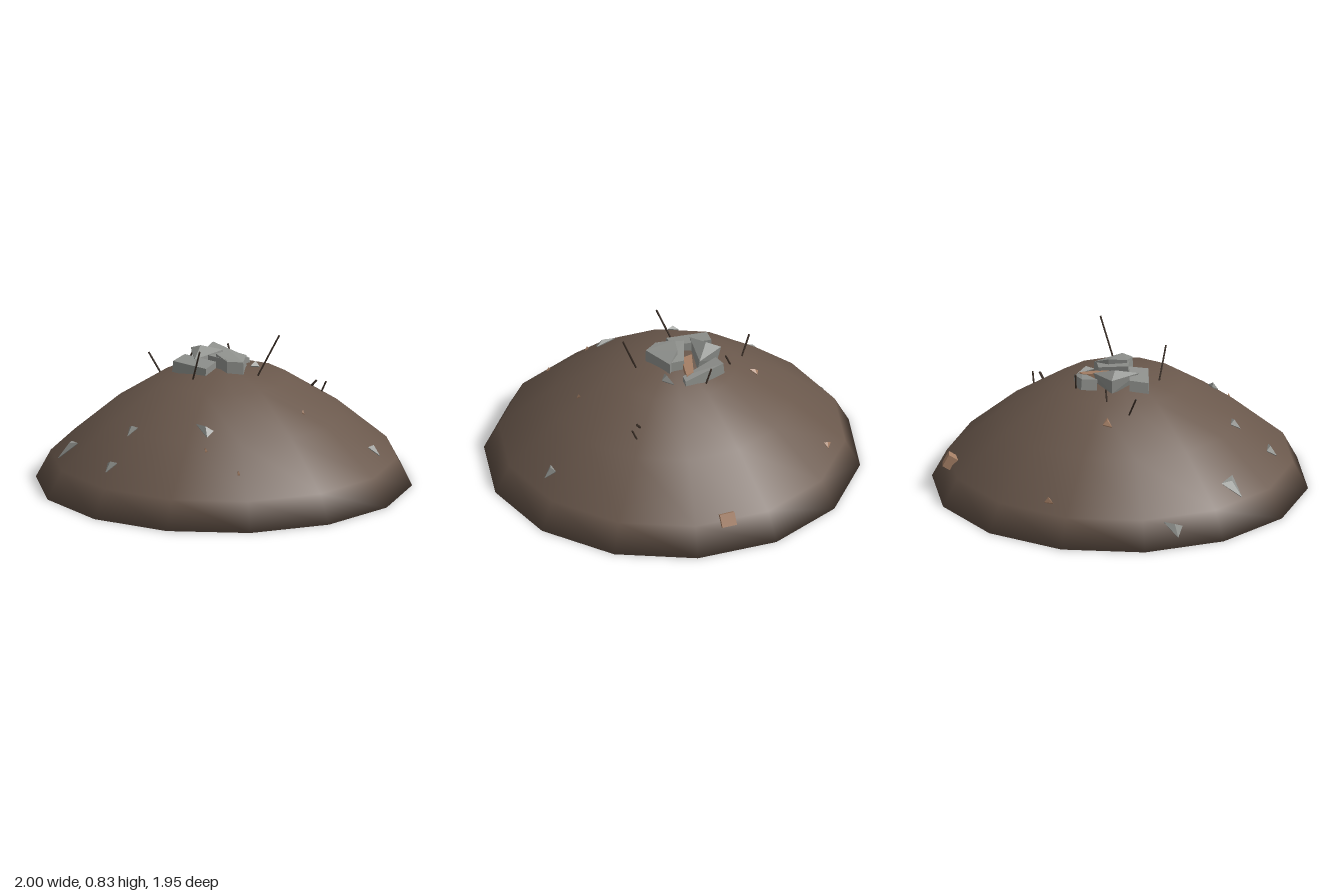
import * as THREE from 'three';
import { mergeVertices } from 'three/addons/utils/BufferGeometryUtils.js';
import { ConvexGeometry } from 'three/addons/geometries/ConvexGeometry.js';

const SIDES = 14;
const PROFILE = [[0, 0], [1, 0], [0.92, 0.15], [0.64, 0.385], [0.345, 0.575], [0, 0.64]];

// Height of the mound's faceted surface at x, z
function groundY(x, z) {
  const step = (Math.PI * 2) / SIDES;
  const a = (Math.atan2(z, x) + Math.PI * 2) % step;
  const r = Math.hypot(x, z) * Math.cos(a - step / 2) / Math.cos(step / 2);
  for (let i = 2; i < PROFILE.length; i++) {
    const [r0, y0] = PROFILE[i - 1], [r1, y1] = PROFILE[i];
    if (r >= r1) return y0 + (y1 - y0) * (r0 - r) / (r0 - r1);
  }
  return 0.64;
}

export function createModel() {
  const group = new THREE.Group();
  const material = (name, color) => {
    const m = new THREE.MeshStandardMaterial({ color });
    m.name = name;
    return m;
  };
  const dirt = material('dirt', 0x6a584c);
  const concrete = material('concrete', 0x8e908c);
  const brick = material('brick', 0xa57f65);
  const rust = material('rustyIron', 0x3c3028);

  const add = (name, geometry, mat) => {
    const mesh = new THREE.Mesh(geometry, mat);
    mesh.name = name;
    group.add(mesh);
    return mesh;
  };

  // Slab: top corners [x, y, z] extended downward by a thickness
  const slab = (name, mat, top, thick) => {
    const pts = [];
    for (const [x, y, z] of top) {
      pts.push(new THREE.Vector3(x, y, z), new THREE.Vector3(x * 1.02, y - thick, z * 1.02));
    }
    add(name, new ConvexGeometry(pts), mat);
  };

  // Shard: corners [x, z] resting on the slope, with a raised peak and a buried root
  const shard = (name, mat, corners, lift) => {
    const pts = corners.map(([x, z]) => new THREE.Vector3(x, groundY(x, z) + 0.006, z));
    const c = new THREE.Vector3();
    pts.forEach(p => c.addScaledVector(p, 1 / pts.length));
    pts.push(c.clone().setY(c.y + lift), c.clone().setY(c.y - 0.05));
    add(name, new ConvexGeometry(pts), mat);
  };

  // Rod between two points
  const rod = (from, to, radius = 0.005) => {
    const a = new THREE.Vector3(...from), b = new THREE.Vector3(...to);
    const dir = b.clone().sub(a);
    const mesh = add('rod', new THREE.CylinderGeometry(radius, radius, dir.length(), 6), rust);
    mesh.position.copy(a).add(b).multiplyScalar(0.5);
    mesh.quaternion.setFromUnitVectors(new THREE.Vector3(0, 1, 0), dir.normalize());
  };

  // Dirt mound, with normals shared around the rim and underside
  let mound = new THREE.LatheGeometry(PROFILE.map(p => new THREE.Vector2(...p)), SIDES, Math.PI / 2);
  mound.deleteAttribute('uv');
  mound.deleteAttribute('normal');
  mound = mergeVertices(mound, 1e-4);
  mound.computeVertexNormals();
  add('mound', mound, dirt);

  // Broken slabs heaped on the summit
  slab('leftSlab', concrete,
    [[-0.17, 0.655, -0.21], [-0.07, 0.67, -0.22], [-0.05, 0.665, -0.01], [-0.15, 0.65, 0.01]], 0.06);
  slab('rightSlab', concrete,
    [[0.10, 0.67, -0.22], [0.18, 0.68, -0.25], [0.24, 0.62, -0.04], [0.20, 0.63, -0.03]], 0.06);
  slab('middleSlab', concrete,
    [[-0.05, 0.69, -0.07], [0.11, 0.67, -0.05], [0.13, 0.67, 0.04], [-0.05, 0.69, 0.07]], 0.06);
  slab('frontSlab', concrete,
    [[-0.06, 0.685, 0.08], [-0.04, 0.705, -0.02], [0.06, 0.705, -0.02],
      [0.14, 0.67, 0.03], [0.00, 0.68, 0.14]], 0.07);
  slab('brickSlab', brick,
    [[0.04, 0.66, -0.10], [0.19, 0.645, -0.09], [0.21, 0.64, -0.05], [0.06, 0.655, -0.04]], 0.04);

  // Pointed chunk behind the slabs
  add('wedge', new ConvexGeometry([
    [-0.11, 0.67, -0.11], [0.02, 0.68, -0.26], [0.13, 0.67, -0.13], [0.01, 0.71, -0.18],
    [-0.08, 0.60, -0.11], [0.02, 0.60, -0.24], [0.11, 0.60, -0.12],
  ].map(p => new THREE.Vector3(...p))), concrete);

  // Concrete shards on the slopes
  [
    [[-0.70, -0.55], [-0.59, -0.55], [-0.64, -0.46]],
    [[-0.41, -0.83], [-0.31, -0.86], [-0.39, -0.87]],
    [[-0.84, -0.07], [-0.79, -0.10], [-0.79, -0.03]],
    [[-0.65, -0.09], [-0.60, -0.12], [-0.60, -0.06]],
    [[-0.47, 0.24], [-0.44, 0.34], [-0.49, 0.34]],
    [[0.37, 0.70], [0.43, 0.68], [0.42, 0.74]],
    [[0.14, 0.06], [0.23, 0.02], [0.19, 0.08]],
  ].forEach(c => shard('concreteShard', concrete, c, 0.025));

  // Brick fragments
  [
    [[0.00, -0.46], [0.05, -0.45], [0.03, -0.41]],
    [[0.28, -0.81], [0.33, -0.79], [0.31, -0.77]],
    [[-0.55, 0.38], [-0.54, 0.37], [-0.54, 0.39]],
    [[-0.52, 0.59], [-0.51, 0.58], [-0.51, 0.60]],
    [[0.06, 0.51], [0.08, 0.50], [0.07, 0.52]],
  ].forEach(c => shard('brickFragment', brick, c, 0.015));
  const block = add('brickBlock', new THREE.BoxGeometry(0.06, 0.07, 0.08), brick);
  block.position.set(0.885, 0.155, -0.175);
  block.rotation.set(0.1, 0.1, 0.5);

  // Twisted iron rods
  rod([0.05, 0.61, 0.20], [0.13, 0.83, 0.28]);
  rod([-0.21, 0.59, -0.03], [-0.24, 0.77, 0.05]);
  rod([-0.08, 0.53, -0.38], [-0.125, 0.65, -0.43]);
  rod([0.04, 0.57, -0.31], [0.05, 0.64, -0.28]);
  rod([0.22, 0.58, -0.15], [0.22, 0.675, -0.18]);
  rod([0.43, 0.48, 0.23], [0.45, 0.51, 0.25], 0.007);
  rod([0.48, 0.43, 0.25], [0.49, 0.50, 0.28]);

  return group;
}
